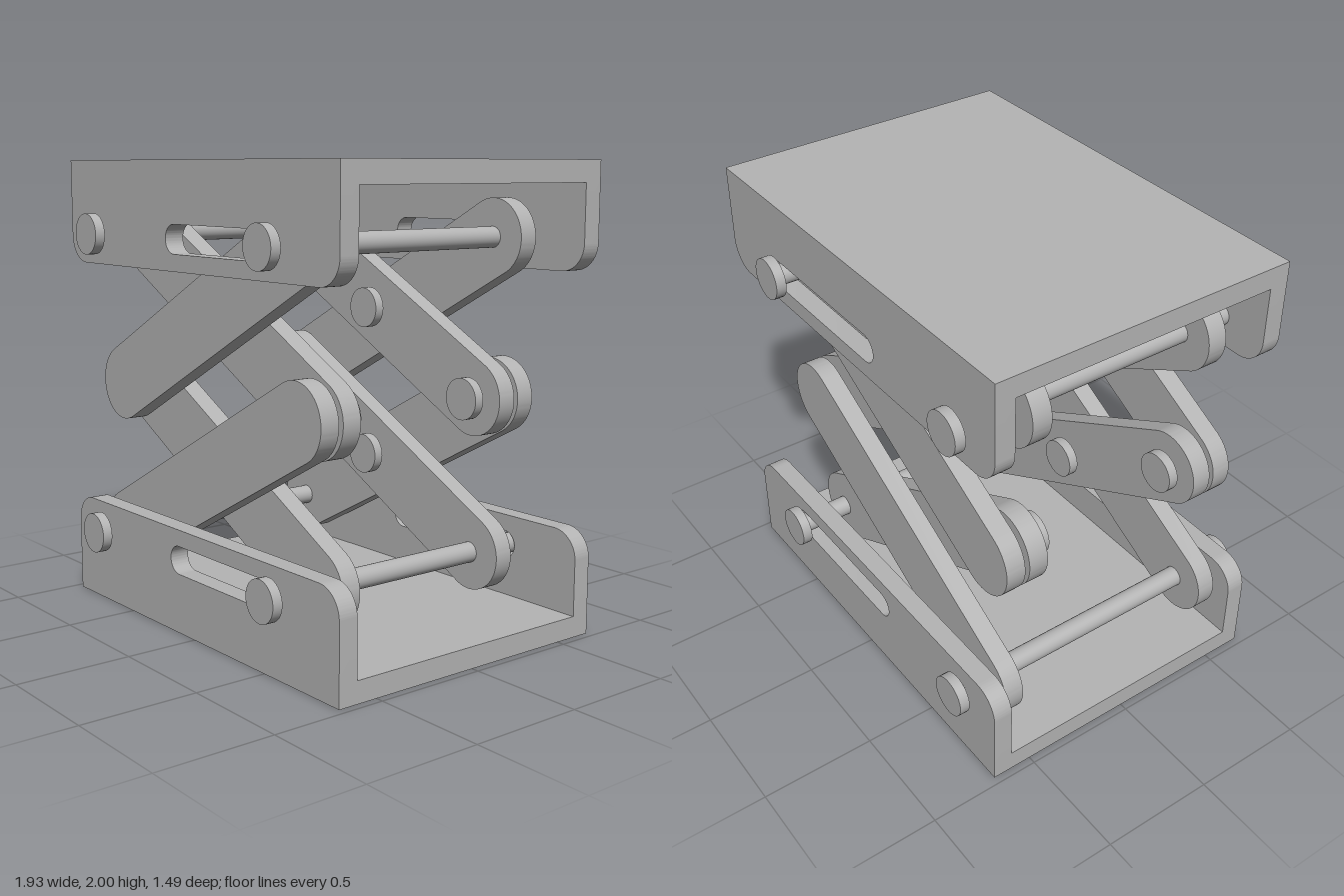
import * as THREE from 'three';
import { toCreasedNormals } from 'three/addons/utils/BufferGeometryUtils.js';

const LEFT = -0.73, RIGHT = 0.557, MID = (LEFT + RIGHT) / 2; // pivot columns
const LOW = 0.322, HIGH = 1.678;                             // pivot heights
const HALF = 0.967, WALL_H = 0.455, WALL_IN = 0.595, WALL_OUT = 0.681;

// Rounded slot outline, horizontal, from x = a to x = b
function capsule(Type, a, b, y, r) {
  const p = new Type();
  p.moveTo(a, y - r);
  p.lineTo(b, y - r);
  p.absarc(b, y, r, -Math.PI / 2, Math.PI / 2, false);
  p.lineTo(a, y + r);
  p.absarc(a, y, r, Math.PI / 2, Math.PI * 1.5, false);
  return p;
}

function plate(shape, z0, z1) {
  const g = new THREE.ExtrudeGeometry(shape, { depth: z1 - z0, bevelEnabled: false, curveSegments: 24 });
  g.translate(0, 0, z0);
  return toCreasedNormals(g, 0.5);
}

export function createModel() {
  const model = new THREE.Group();
  model.name = 'scissorLift';
  const steel = new THREE.MeshStandardMaterial({ color: 0xb4b4b4 });
  steel.name = 'grey steel';

  const add = (parent, name, geometry) => {
    const mesh = new THREE.Mesh(geometry, steel);
    mesh.name = name;
    parent.add(mesh);
    return mesh;
  };

  // Cylinder along z between z0 and z1
  const rod = (parent, name, x, y, r, z0, z1) => {
    const g = new THREE.CylinderGeometry(r, r, Math.abs(z1 - z0), 40);
    g.rotateX(Math.PI / 2);
    add(parent, name, g).position.set(x, y, (z0 + z1) / 2);
  };

  // Channel wall: rounded free corners and a sliding slot
  const wall = new THREE.Shape();
  const r = 0.12;
  wall.moveTo(-HALF, 0);
  wall.lineTo(HALF, 0);
  wall.lineTo(HALF, WALL_H - r);
  wall.absarc(HALF - r, WALL_H - r, r, 0, Math.PI / 2, false);
  wall.lineTo(-HALF + r, WALL_H);
  wall.absarc(-HALF + r, WALL_H - r, r, Math.PI / 2, Math.PI, false);
  wall.lineTo(-HALF, 0);
  wall.holes.push(capsule(THREE.Path, -0.113, RIGHT, LOW, 0.061));

  // Base and platform are the same channel, one turned over
  for (const name of ['baseChannel', 'platformChannel']) {
    const channel = new THREE.Group();
    channel.name = name;
    add(channel, 'frontWall', plate(wall, WALL_IN, WALL_OUT));
    add(channel, 'backWall', plate(wall, -WALL_OUT, -WALL_IN));
    add(channel, 'deck', new THREE.BoxGeometry(2 * HALF, 0.092, 2 * WALL_IN)).position.y = 0.046;
    if (name === 'platformChannel') {
      // Turn about x keeps the slots on the same side
      channel.rotation.x = Math.PI;
      channel.position.y = 2;
    }
    model.add(channel);
  }

  // Cross rods with a head on each end
  for (const x of [LEFT, RIGHT]) {
    for (const y of [LOW, HIGH]) {
      const axle = new THREE.Group();
      axle.name = 'crossRod';
      rod(axle, 'shaft', x, y, 0.045, -0.72, 0.72);
      for (const s of [-1, 1]) rod(axle, 'head', x, y, 0.09, s * 0.7, s * 0.745);
      model.add(axle);
    }
  }

  // Scissor arms: [x0, y0, x1, y1, inner z, outer z]
  const arms = [
    ['upperOuterArm', LEFT, 1, RIGHT, HIGH, 0.485, 0.572],
    ['lowerOuterArm', LEFT, LOW, RIGHT, 1, 0.485, 0.572],
    ['upperInnerArm', LEFT, HIGH, RIGHT, 1, 0.377, 0.464],
    ['lowerInnerArm', LEFT, 1, RIGHT, LOW, 0.377, 0.464],
  ];
  const pivots = [[MID, (1 + HIGH) / 2], [MID, (1 + LOW) / 2], [LEFT, 1], [RIGHT, 1]];

  for (const s of [-1, 1]) {
    const side = new THREE.Group();
    side.name = s > 0 ? 'frontScissor' : 'backScissor';
    for (const [name, x0, y0, x1, y1, zi, zo] of arms) {
      const half = Math.hypot(x1 - x0, y1 - y0) / 2;
      const shape = capsule(THREE.Shape, -half, half, 0, 0.165);
      const arm = add(side, name, plate(shape, s > 0 ? zi : -zo, s > 0 ? zo : -zi));
      arm.rotation.z = Math.atan2(y1 - y0, x1 - x0);
      arm.position.set((x0 + x1) / 2, (y0 + y1) / 2, 0);
    }
    // Pivot pins with heads on the inside
    for (const [x, y] of pivots) {
      rod(side, 'pivotShaft', x, y, 0.045, s * 0.33, s * 0.56);
      rod(side, 'pivotHead', x, y, 0.09, s * 0.312, s * 0.356);
    }
    model.add(side);
  }
  return model;
}
